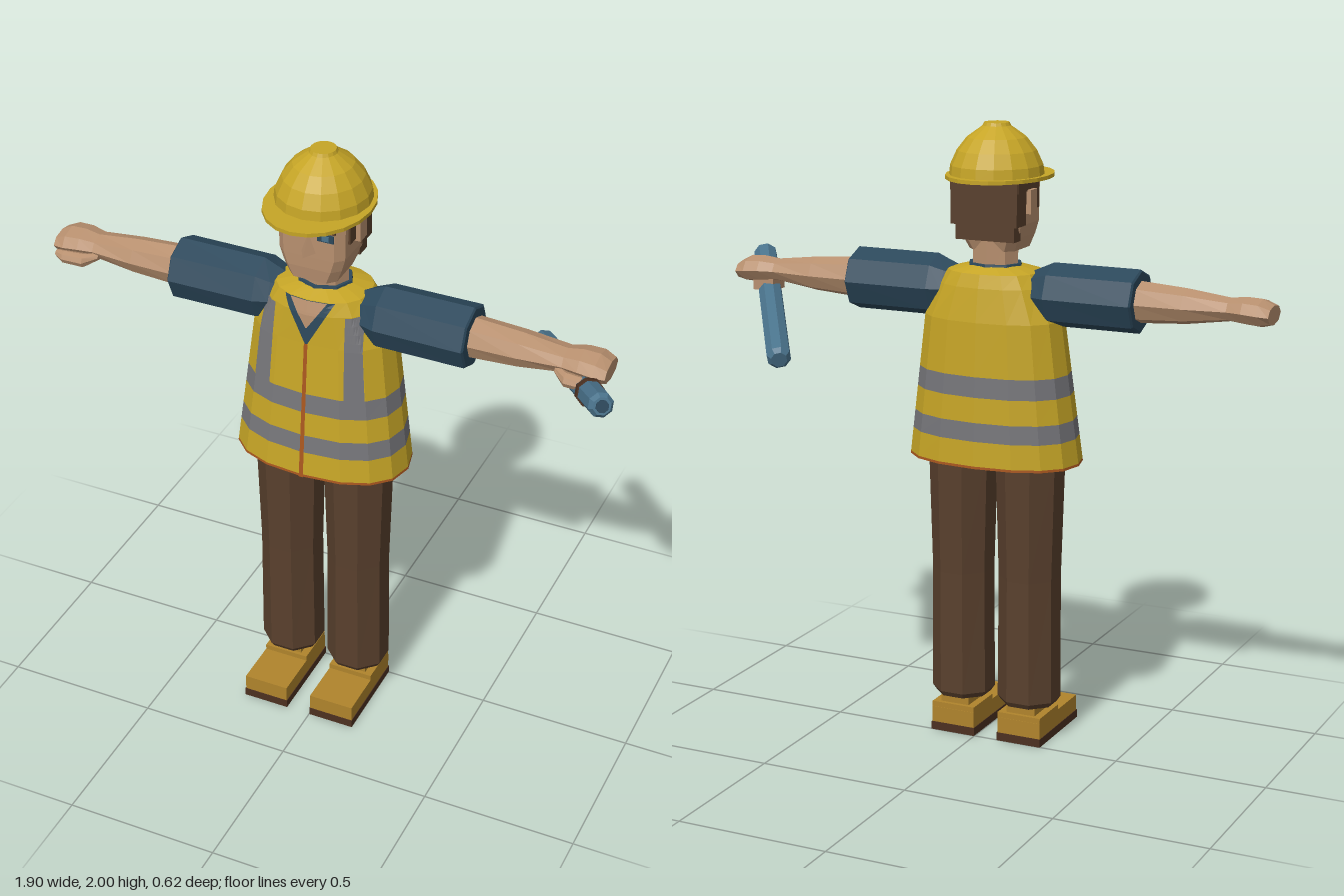
import * as THREE from 'three';

const mat = (name, color) => {
  const m = new THREE.MeshStandardMaterial({ color });
  m.name = name;
  return m;
};

export function createModel() {
  const yellow = mat('safety yellow', 0xc6a526), grey = mat('reflective grey', 0x76767a);
  const skin = mat('skin', 0xb8906f), navy = mat('shirt navy', 0x2c485b);
  const brown = mat('trouser brown', 0x59402d), tan = mat('boot tan', 0xb0842c);
  const steel = mat('torch blue', 0x4a738c), orange = mat('trim orange', 0xa8561e);
  const sole = mat('sole brown', 0x4c3020), inside = mat('vest lining', 0xc6a526);
  inside.side = THREE.DoubleSide;

  const root = new THREE.Group();
  root.name = 'worker';
  const body = new THREE.Group();
  body.name = 'body';
  body.position.x = -0.04;
  root.add(body);

  const add = (name, geo, material, x = 0, y = 0, z = 0, parent = body) => {
    const g = geo.index ? geo.toNonIndexed() : geo;
    g.computeVertexNormals();
    const m = new THREE.Mesh(g, material);
    m.name = name;
    m.position.set(x, y, z);
    parent.add(m);
    return m;
  };
  const box = (name, material, w, h, d, x, y, z) => add(name, new THREE.BoxGeometry(w, h, d), material, x, y, z);

  // Faceted skin over a stack of rings, optionally capped
  const loft = (rings, caps = true) => {
    const pos = [], n = rings[0].length;
    const tri = (...p) => p.forEach(q => pos.push(...q));
    for (let r = 0; r + 1 < rings.length; r++) for (let i = 0; i < n; i++) {
      const j = (i + 1) % n, a = rings[r], b = rings[r + 1];
      tri(a[i], a[j], b[j]);
      tri(a[i], b[j], b[i]);
    }
    if (caps) for (let i = 1; i + 1 < n; i++) {
      const a = rings[0], b = rings[rings.length - 1];
      tri(a[0], a[i + 1], a[i]);
      tri(b[0], b[i], b[i + 1]);
    }
    const g = new THREE.BufferGeometry();
    g.setAttribute('position', new THREE.Float32BufferAttribute(pos, 3));
    return g;
  };
  const pw = (v, e) => Math.sign(v) * Math.abs(v) ** e;
  // Rounded ring: height, half width, half depth, centre x and z, sides, exponent
  const ring = (y, rx, rz, cx = 0, cz = 0, n = 8, e = 1, turn = 0) =>
    Array.from({ length: n }, (_, i) => {
      const a = (i + turn) / n * Math.PI * 2;
      return [cx + rx * pw(Math.sin(a), e), y, cz + rz * pw(Math.cos(a), e)];
    });

  // Legs and boots
  for (const s of [-1, 1]) {
    const x = s * 0.118;
    const rows = [[0.122, 0.088, 0.085], [0.14, 0.1, 0.097], [0.55, 0.097, 0.098], [0.95, 0.108, 0.108], [1.05, 0.108, 0.108]];
    add('trouserLeg', loft(rows.map(([y, rx, rz]) => ring(y, rx * 1.03, rz * 1.03, 0, 0.083, 8, 1, 0.5))), brown, x);
    box('bootSole', sole, 0.154, 0.027, 0.305, x, 0.0135, 0.15);
    box('bootToe', tan, 0.15, 0.053, 0.3, x, 0.053, 0.15);
    box('bootHeel', tan, 0.15, 0.02, 0.145, x, 0.087, 0.074);
    box('bootCuff', tan, 0.1, 0.04, 0.12, x, 0.112, 0.075);
  }
  box('hips', brown, 0.26, 0.1, 0.17, 0, 1.01, 0.083);

  // Vest: height, half width, front z, back z
  const vest = [[0.933, 0.286, 0.254, -0.095], [1.395, 0.228, 0.208, -0.075], [1.5, 0.178, 0.2, -0.058], [1.542, 0.15, 0.188, -0.045]];
  const at = y => {
    let i = 0;
    while (i < vest.length - 2 && y > vest[i + 1][0]) i++;
    const t = (y - vest[i][0]) / (vest[i + 1][0] - vest[i][0]);
    return vest[i].map((v, k) => v + (vest[i + 1][k] - v) * t);
  };
  const E = 0.85, N = 16;
  const vestRing = y => {
    const [, w, f, b] = at(y);
    return ring(y, w, (f - b) / 2, 0, (f + b) / 2, N, E);
  };
  const bands = [[0.933, 0.941, orange], [0.941, 1.02, inside], [1.02, 1.08, grey], [1.08, 1.16, inside],
    [1.16, 1.225, grey], [1.225, 1.395, inside], [1.395, 1.5, inside], [1.5, 1.542, inside]];
  for (const [a, b, m] of bands) {
    add(m === grey ? 'reflectiveBand' : m === orange ? 'vestHem' : 'vestPanel', loft([vestRing(a), vestRing(b)], false), m);
    if (m !== inside) {
      const inner = y => vestRing(y).map(p => [p[0] * 0.985, y, 0.08 + (p[2] - 0.08) * 0.985]);
      add('vestLining', loft([inner(a), inner(b)], false), inside);
    }
  }
  add('vestShoulders', loft([vestRing(1.542), ring(1.56, 0.085, 0.075, 0, 0.07, N)], false), inside);

  // Thin pieces that follow the front of the vest; rows are [y, x0, x1]
  const front = (x, y) => {
    const [, w, f, b] = at(y), u = Math.min(Math.abs(x) / w, 1);
    let i = 0;
    const c = k => [pw(Math.sin(k / N * Math.PI * 2), E), pw(Math.cos(k / N * Math.PI * 2), E)];
    while (i < 3 && u > c(i + 1)[0]) i++;
    const [p, q] = [c(i), c(i + 1)], t = (u - p[0]) / (q[0] - p[0]);
    return (f + b) / 2 + (f - b) / 2 * (p[1] + (q[1] - p[1]) * t);
  };
  const patch = (name, material, lo, hi, lift) => {
    const g = new THREE.PlaneGeometry(1, 1, 8, 10), p = g.attributes.position;
    for (let i = 0; i < p.count; i++) {
      const u = p.getX(i) + 0.5, v = p.getY(i) + 0.5;
      const y = lo[0] + (hi[0] - lo[0]) * v;
      const x0 = lo[1] + (hi[1] - lo[1]) * v, x1 = lo[2] + (hi[2] - lo[2]) * v;
      const x = x0 + (x1 - x0) * u;
      p.setXYZ(i, x, y, front(x, y) + lift);
    }
    add(name, g, material);
  };
  patch('shirtNeck', navy, [1.395, -0.002, 0.002], [1.542, -0.082, 0.082], 0.004);
  patch('openCollarSkin', skin, [1.455, -0.002, 0.002], [1.542, -0.06, 0.06], 0.007);
  patch('zip', orange, [0.935, -0.007, 0.007], [1.4, -0.006, 0.006], 0.006);
  patch('leftStripe', grey, [1.225, 0.125, 0.185], [1.5, 0.115, 0.162], 0.004);
  patch('rightStripe', grey, [1.225, -0.185, -0.125], [1.5, -0.162, -0.115], 0.004);

  // Arms: distance out, height offset, z, half height, half depth
  const arm = (name, s, rows, material) => {
    const g = loft(rows.map(([d, up, z, h, w]) => ring(d, h, w, -s * up, z)));
    g.rotateZ(-s * Math.PI / 2);
    add(name, g, material, 0, 1.477, 0);
  };
  for (const s of [-1, 1]) {
    arm('sleeve', s, [[0.12, 0, 0.075, 0.065, 0.07], [0.155, 0, 0.075, 0.08, 0.085], [0.2, 0, 0.075, 0.1, 0.1],
      [0.485, 0, 0.075, 0.1, 0.102], [0.49, 0, 0.075, 0.094, 0.094]], navy);
    arm('forearmAndHand', s, [[0.48, 0, 0.073, 0.066, 0.066], [0.64, 0, 0.073, 0.055, 0.063], [0.78, 0.002, 0.073, 0.036, 0.054],
      [0.83, 0.003, 0.07, 0.042, 0.066], [0.88, 0, 0.07, 0.043, 0.07], [0.915, -0.004, 0.072, 0.03, 0.06]], skin);
    arm('thumb', s, [[0.76, -0.015, 0.11, 0.012, 0.02], [0.8, -0.025, 0.14, 0.022, 0.025],
      [0.87, -0.025, 0.145, 0.02, 0.022], [0.9, -0.02, 0.14, 0.01, 0.012]], skin);
  }
  box('curledFingers', skin, 0.075, 0.04, 0.075, 0.825, 1.432, 0.075);

  // Hand-held torch
  const a = new THREE.Vector3(0.535, 1.268, -0.295), b = new THREE.Vector3(0.92, 1.492, 0.283);
  const torch = new THREE.Group();
  torch.name = 'torch';
  torch.position.copy(a);
  torch.quaternion.setFromUnitVectors(new THREE.Vector3(0, 1, 0), b.clone().sub(a).normalize());
  root.add(torch);
  const len = a.distanceTo(b);
  add('torchBarrel', loft([ring(0, 0.026, 0.026), ring(0.015, 0.039, 0.039), ring(len - 0.015, 0.039, 0.039), ring(len, 0.028, 0.028)]), steel, 0, 0, 0, torch);
  add('torchRing', loft([ring(0, 0.044, 0.044), ring(0.02, 0.044, 0.044)]), sole, 0, len * 0.79, 0, torch);
  add('torchLens', new THREE.CylinderGeometry(0.02, 0.02, 0.004, 8), navy, 0, len + 0.002, 0, torch);

  // Neck and head, with bevelled square sections
  const slab = (y, w, f, bk, c = 0.025) => [[-w + c, f], [w - c, f], [w, f - c], [w, bk + c], [w - c, bk], [-w + c, bk], [-w, bk + c], [-w, f - c]]
    .map(([x, z]) => [x, y, z]);
  add('neck', loft([ring(1.48, 0.078, 0.066, 0, 0.07), ring(1.64, 0.078, 0.068, 0, 0.07)]), skin);
  add('shirtCollar', loft([ring(1.52, 0.1, 0.088, 0, 0.07), ring(1.566, 0.088, 0.077, 0, 0.07)]), navy);
  add('head', loft([slab(1.607, 0.078, 0.18, 0.02), slab(1.65, 0.095, 0.185, 0.005), slab(1.69, 0.107, 0.186, 0),
    slab(1.84, 0.11, 0.186, 0)]), skin);
  add('nose', new THREE.CylinderGeometry(0.002, 0.036, 0.055, 3), skin, 0, 1.734, 0.19);
  for (const s of [-1, 1]) {
    box('eye', navy, 0.054, 0.026, 0.008, s * 0.056, 1.766, 0.185);
    box('iris', steel, 0.024, 0.018, 0.009, s * 0.056, 1.766, 0.1865);
    box('eyebrow', brown, 0.064, 0.018, 0.009, s * 0.056, 1.793, 0.187);
    box('ear', skin, 0.024, 0.075, 0.045, s * 0.116, 1.762, 0.075);
    box('sideburn', brown, 0.008, 0.1, 0.04, s * 0.111, 1.785, 0.122);
    box('sideHair', brown, 0.008, 0.04, 0.13, s * 0.112, 1.815, 0.05);
  }
  box('backHair', brown, 0.226, 0.15, 0.07, 0, 1.765, 0.016);
  box('napeHair', brown, 0.2, 0.05, 0.05, 0, 1.667, 0.014);

  // Hard hat
  const dome = [[1.836, 0.152], [1.87, 0.148], [1.915, 0.127], [1.955, 0.095], [1.985, 0.052], [1.99, 0.045], [2, 0.04]];
  add('helmetDome', loft(dome.map(([y, r]) => ring(y, r * 0.97, r * 1.02, 0, 0.078, 16))), yellow);
  add('helmetBrim', loft([ring(1.828, 0.163, 0.206, 0, 0.103, 20), ring(1.84, 0.163, 0.206, 0, 0.103, 20)]), yellow);

  return root;
}
